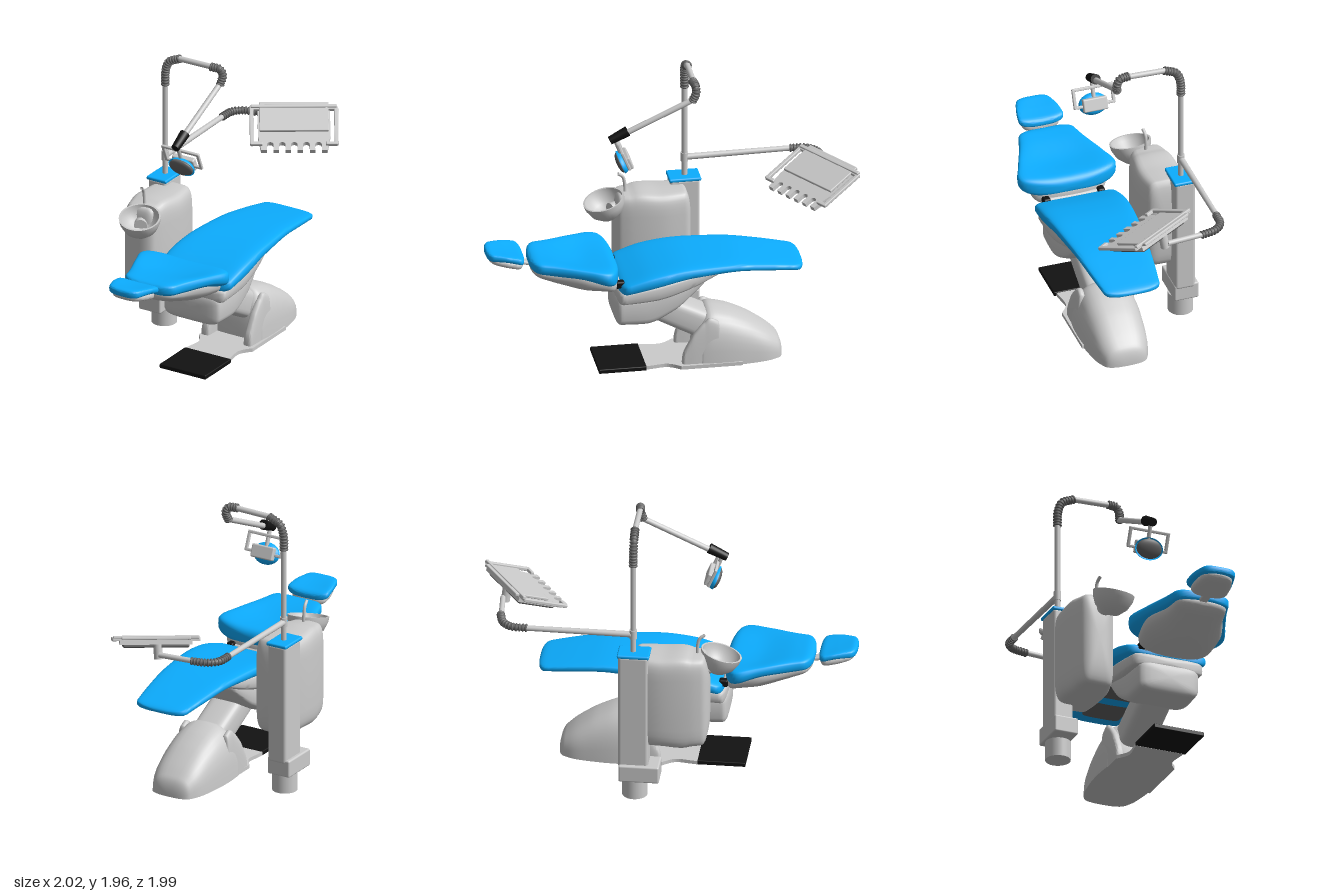
import * as THREE from 'three';
import { toCreasedNormals } from 'three/addons/utils/BufferGeometryUtils.js';
import { RoundedBoxGeometry } from 'three/addons/geometries/RoundedBoxGeometry.js';

const mat = (color) => new THREE.MeshStandardMaterial({ color, side: THREE.DoubleSide });
const grey = mat(0xcccccc), blue = mat(0x0cadff), dark = mat(0x666666), black = mat(0x121212);
const V = (x, y, z) => new THREE.Vector3(x, y, z);

function add(parent, name, geo, material, x = 0, y = 0, z = 0) {
  const m = new THREE.Mesh(geo, material);
  m.name = name;
  m.position.set(x, y, z);
  parent.add(m);
  return m;
}

// Body along x from sections [x, halfWidth, bottom, top, sideLift]; superelliptic, with rounded ends
function loft(sections, { power = 3.5, round = 0.06, z = 0, floor = -9 } = {}) {
  const A = new THREE.CatmullRomCurve3(sections.map((s) => V(s[0], s[1], s[4] || 0)));
  const B = new THREE.CatmullRomCurve3(sections.map((s) => V(s[2], s[3], 0)));
  const N = 36, M = 36, pos = [], idx = [];
  const x0 = sections[0][0], x1 = sections[sections.length - 1][0];
  const se = (c) => Math.sign(c) * Math.abs(c) ** (2 / power);
  for (let i = 0; i <= N; i++) {
    const t = (1 - Math.cos((Math.PI * i) / N)) / 2;
    const a = A.getPoint(t), b = B.getPoint(t);
    const d = Math.max(0, Math.min(1, Math.min(a.x - x0, x1 - a.x) / round));
    const e = (1 - (1 - d) ** 2.6) ** (1 / 2.6);
    for (let j = 0; j < M; j++) {
      const q = (2 * Math.PI * j) / M, c = se(Math.cos(q)) * e;
      const y = (b.x + b.y) / 2 + ((b.y - b.x) / 2) * se(Math.sin(q)) * e + a.z * c * c;
      pos.push(a.x, Math.max(floor, y), z + a.y * c);
      if (i < N) {
        const k = (j + 1) % M, p = i * M, n = p + M;
        idx.push(p + j, n + j, n + k, p + j, n + k, p + k);
      }
    }
  }
  const g = new THREE.BufferGeometry();
  g.setAttribute('position', new THREE.Float32BufferAttribute(pos, 3));
  g.setIndex(idx);
  return toCreasedNormals(g, 0.9);
}

function rod(parent, name, a, b, r, material = grey, r2 = r) {
  const m = add(parent, name, new THREE.CylinderGeometry(r2, r, a.distanceTo(b), 20), material);
  m.position.copy(a).lerp(b, 0.5);
  m.quaternion.setFromUnitVectors(V(0, 1, 0), b.clone().sub(a).normalize());
  return m;
}

// Corrugated sleeve: a bent tube with rings
function sleeve(parent, name, pts, r, rings) {
  const g = new THREE.Group(), c = new THREE.CatmullRomCurve3(pts);
  g.name = name;
  add(g, 'sleeveCore', new THREE.TubeGeometry(c, 30, r, 14), dark);
  for (let i = 0; i <= rings; i++) {
    const ring = add(g, 'sleeveRing', new THREE.TorusGeometry(r, 0.007, 8, 18), dark);
    ring.position.copy(c.getPointAt(i / rings));
    ring.lookAt(ring.position.clone().add(c.getTangentAt(i / rings)));
  }
  parent.add(g);
}

function buildChair(g) {
  const z = 0.07;
  // cushions
  add(g, 'seatCushion', loft([[-0.47, 0.28, 0.59, 0.67, 0.01], [-0.25, 0.295, 0.635, 0.74, 0.01], [0, 0.28, 0.69, 0.775, 0.005],
    [0.3, 0.25, 0.712, 0.775], [0.55, 0.22, 0.69, 0.745], [0.785, 0.185, 0.66, 0.705]], { z, round: 0.06, power: 4.5 }), blue);
  add(g, 'seatUnderPanel', loft([[0.15, 0.18, 0.69, 0.72], [0.4, 0.165, 0.704, 0.73], [0.7, 0.13, 0.663, 0.69]], { z, power: 8, round: 0.03 }), dark);
  add(g, 'backCushion', loft([[-1.05, 0.18, 0.77, 0.86, 0.01], [-0.9, 0.22, 0.745, 0.845, 0.02], [-0.7, 0.295, 0.71, 0.81, 0.045],
    [-0.56, 0.34, 0.68, 0.81, 0.035], [-0.46, 0.27, 0.67, 0.81, 0.01]], { z: 0.08, round: 0.08, power: 4 }), blue);
  add(g, 'backShell', loft([[-1.04, 0.17, 0.74, 0.82, 0.01], [-0.88, 0.2, 0.67, 0.79, 0.03], [-0.68, 0.27, 0.61, 0.77, 0.05],
    [-0.46, 0.25, 0.6, 0.75]], { z: 0.08, round: 0.08, power: 2.8 }), grey);
  add(g, 'headCushion', loft([[-1.335, 0.105, 0.855, 0.92], [-1.2, 0.145, 0.84, 0.895, 0.015], [-1.08, 0.16, 0.815, 0.875, 0.01]],
    { z, round: 0.05, power: 4 }), blue);
  add(g, 'headShell', loft([[-1.32, 0.09, 0.83, 0.89], [-1.2, 0.125, 0.8, 0.87], [-1.085, 0.13, 0.775, 0.85]], { z, power: 3 }), grey);
  add(g, 'headrestStem', new RoundedBoxGeometry(0.22, 0.025, 0.06, 2, 0.01), grey, -1.04, 0.79, z).rotation.z = -0.2;
  // hinge between back and seat
  rod(g, 'hingeBar', V(-0.47, 0.66, -0.1), V(-0.47, 0.66, 0.24), 0.022);
  for (const s of [-1, 1]) add(g, 'hingeBlock', new RoundedBoxGeometry(0.06, 0.05, 0.05, 2, 0.012), black, -0.46, 0.67, z + s * 0.19);
  // seat carrier and lifting arm
  add(g, 'seatShell', loft([[-0.48, 0.25, 0.52, 0.62], [-0.2, 0.255, 0.54, 0.67], [0.02, 0.23, 0.6, 0.71], [0.24, 0.18, 0.69, 0.74]],
    { z, power: 5, round: 0.04 }), grey);
  add(g, 'seatCarrier', loft([[-0.49, 0.215, 0.355, 0.57], [-0.28, 0.22, 0.35, 0.58], [-0.08, 0.21, 0.44, 0.62], [0.14, 0.17, 0.64, 0.69]],
    { z, power: 5, round: 0.04 }), grey);
  add(g, 'liftArm', loft([[-0.38, 0.12, 0.42, 0.57], [-0.2, 0.12, 0.33, 0.53], [0.02, 0.12, 0.21, 0.43], [0.24, 0.12, 0.09, 0.32]], { z, power: 4 }), grey);
  // base cover with two cheeks around the foot of the arm
  add(g, 'baseCover', loft([[0.06, 0.2, -0.24, 0.25], [0.16, 0.21, -0.36, 0.385], [0.28, 0.212, -0.33, 0.36],
    [0.42, 0.2, -0.27, 0.295], [0.55, 0.175, -0.17, 0.205], [0.65, 0.125, -0.09, 0.115]], { z, floor: 0.02, power: 3, round: 0.04 }), grey);
  for (const s of [-1, 1])
    add(g, 'baseCheek', loft([[-0.04, 0.03, -0.08, 0.1], [0.04, 0.035, -0.22, 0.25], [0.12, 0.035, -0.3, 0.33], [0.22, 0.035, -0.3, 0.33]],
      { z: z + s * 0.165, floor: 0.02, power: 3.5, round: 0.02 }), grey);
  // floor plate with waist, and the black foot pad
  const plate = new THREE.Shape();
  plate.moveTo(-0.29, -0.17);
  plate.bezierCurveTo(-0.15, -0.16, -0.15, -0.12, -0.05, -0.21);
  plate.lineTo(0.36, -0.21);
  plate.lineTo(0.36, 0.21);
  plate.lineTo(-0.05, 0.21);
  plate.bezierCurveTo(-0.15, 0.12, -0.15, 0.16, -0.29, 0.17);
  const pg = new THREE.ExtrudeGeometry(plate, { depth: 0.025, bevelEnabled: false }).rotateX(-Math.PI / 2);
  add(g, 'floorPlate', pg, grey, 0, 0.02, 0.08);
  add(g, 'footPad', new RoundedBoxGeometry(0.32, 0.03, 0.36, 2, 0.006), black, -0.44, 0.036, 0.087);
}

function buildColumn(g) {
  add(g, 'columnFoot', new THREE.CylinderGeometry(0.085, 0.085, 0.14, 28), grey, 0.09, 0.07, -0.49);
  add(g, 'junctionBox', new RoundedBoxGeometry(0.27, 0.12, 0.17, 3, 0.012), grey, 0.055, 0.19, -0.5);
  add(g, 'column', new RoundedBoxGeometry(0.2, 0.84, 0.14, 3, 0.02), grey, 0.095, 0.64, -0.49);
  add(g, 'columnCap', new RoundedBoxGeometry(0.215, 0.025, 0.155, 3, 0.01), blue, 0.095, 1.062, -0.49);
  add(g, 'basinCabinet', loft([[-0.4, 0.1, 0.385, 1.025], [-0.28, 0.14, 0.375, 1.035], [-0.08, 0.16, 0.375, 1.035], [0.12, 0.13, 0.375, 1.035]],
    { z: -0.4, power: 6, round: 0.05 }), grey);
}

function buildBasin(root) {
  const bowl = [[0, -0.15], [0.06, -0.138], [0.11, -0.092], [0.135, -0.037], [0.14, 0], [0.128, 0], [0.12, -0.035], [0.09, -0.085], [0.05, -0.112], [0, -0.12]]
    .map((p) => new THREE.Vector2(...p));
  const b = add(root, 'basin', toCreasedNormals(new THREE.LatheGeometry(bowl, 40), 0.8), grey, -0.57, 1.01, 0.06);
  b.rotation.set(0.25, 0, 0.15);
  rod(root, 'basinNeck', V(-0.55, 0.92, 0.01), V(-0.48, 0.92, -0.16), 0.045);
  const path = new THREE.CatmullRomCurve3([V(-0.49, 0.98, -0.08), V(-0.495, 1.09, -0.085), V(-0.505, 1.14, -0.075), V(-0.525, 1.165, -0.05)]);
  add(root, 'waterSpout', new THREE.TubeGeometry(path, 20, 0.011, 10), grey);
}

function buildLamp(root) {
  rod(root, 'pole', V(-0.245, 1.06, -0.435), V(-0.245, 1.74, -0.435), 0.019);
  sleeve(root, 'poleBend', [V(-0.245, 1.72, -0.435), V(-0.243, 1.82, -0.432), V(-0.225, 1.89, -0.41), V(-0.17, 1.93, -0.35)], 0.023, 13);
  rod(root, 'upperArm', V(-0.175, 1.93, -0.355), V(0.0, 1.935, -0.15), 0.019);
  sleeve(root, 'armBend', [V(-0.01, 1.935, -0.155), V(0.035, 1.93, -0.115), V(0.052, 1.89, -0.1), V(0.03, 1.83, -0.09)], 0.023, 10);
  rod(root, 'lowerArm', V(0.04, 1.84, -0.1), V(-0.32, 1.62, 0.21), 0.019);
  rod(root, 'lampJoint', V(-0.3, 1.64, 0.195), V(-0.39, 1.58, 0.275), 0.035, black, 0.028);
  rod(root, 'lampDrop', V(-0.37, 1.6, 0.255), V(-0.33, 1.46, 0.22), 0.014);

  const head = new THREE.Group();
  head.name = 'lampHead';
  head.position.set(-0.335, 1.415, 0.23);
  head.rotation.set(0, 0.716, 0.4, 'YXZ');
  root.add(head);
  // shell opens toward the patient, on local -x
  const shell = add(head, 'lampShell', new THREE.SphereGeometry(1, 32, 12, 0, Math.PI * 2, 0, Math.PI / 2), blue);
  shell.rotation.z = -Math.PI / 2;
  shell.scale.set(0.075, 0.05, 0.1);
  const lens = add(head, 'lampLens', new THREE.SphereGeometry(1, 32, 16), dark, -0.002);
  lens.scale.set(0.025, 0.066, 0.09);
  add(head, 'lampHousing', new RoundedBoxGeometry(0.04, 0.09, 0.17, 2, 0.01), grey, 0.05, 0.005, 0);
  for (const s of [-1, 1]) {
    add(head, 'lampHandle', new RoundedBoxGeometry(0.02, 0.14, 0.022, 2, 0.006), grey, 0.04, 0.06, s * 0.135);
    add(head, 'handleRail', new RoundedBoxGeometry(0.02, 0.02, 0.285, 2, 0.006), grey, 0.04, 0.06 + s * 0.06, 0);
  }
}

function buildTray(root) {
  rod(root, 'armCollar', V(-0.245, 1.17, -0.435), V(-0.245, 1.235, -0.435), 0.025);
  rod(root, 'trayArm', V(-0.235, 1.2, -0.445), V(0.3, 1.205, -0.915), 0.021, grey, 0.018);
  sleeve(root, 'trayBend', [V(0.29, 1.205, -0.905), V(0.37, 1.205, -0.965), V(0.45, 1.205, -0.965), V(0.54, 1.205, -0.905)], 0.021, 13);
  rod(root, 'trayEndArm', V(0.53, 1.205, -0.91), V(0.71, 1.2, -0.73), 0.018);
  rod(root, 'trayPivot', V(0.71, 1.165, -0.71), V(0.71, 1.27, -0.69), 0.03);

  const t = new THREE.Group();
  t.name = 'instrumentTray';
  t.position.set(0.675, 1.222, -0.535);
  t.rotation.set(0.38, -0.28, 0, 'YXZ');
  root.add(t);
  // instrument holder with round notches along its front edge
  const s = new THREE.Shape();
  s.moveTo(-0.24, 0.2);
  s.lineTo(-0.24, -0.06);
  s.lineTo(-0.22, -0.19);
  for (let i = -2; i <= 2; i++) {
    const x = i * 0.08;
    s.lineTo(x - 0.022, -0.19);
    s.lineTo(x - 0.022, -0.14);
    s.absarc(x, -0.14, 0.022, Math.PI, 0, true);
    s.lineTo(x + 0.022, -0.19);
  }
  s.lineTo(0.22, -0.19);
  s.lineTo(0.24, -0.06);
  s.lineTo(0.24, 0.2);
  add(t, 'instrumentHolder', new THREE.ExtrudeGeometry(s, { depth: 0.03, bevelEnabled: false }).rotateX(-Math.PI / 2), grey, 0, -0.025, 0);
  add(t, 'trayTop', new RoundedBoxGeometry(0.46, 0.02, 0.26, 2, 0.006), grey, 0, 0.018, -0.1);
  add(t, 'trayUnderside', new RoundedBoxGeometry(0.44, 0.03, 0.28, 2, 0.01), dark, 0, -0.03, -0.04);
  for (const k of [-1, 1]) {
    add(t, 'sideHandle', new RoundedBoxGeometry(0.028, 0.024, 0.34, 2, 0.006), grey, k * 0.28, 0.012, -0.02);
    for (const z of [-0.18, 0.14])
      add(t, 'handleStay', new RoundedBoxGeometry(0.08, 0.024, 0.026, 2, 0.006), grey, k * 0.25, 0.012, z);
  }
  add(t, 'rearRail', new RoundedBoxGeometry(0.57, 0.022, 0.026, 2, 0.006), grey, 0, 0.025, -0.19);
}

export function createModel() {
  const root = new THREE.Group();
  root.name = 'dentalUnit';
  // chair and column stand diagonally: local x runs from head to foot
  for (const [name, build] of [['chair', buildChair], ['serviceColumn', buildColumn]]) {
    const g = new THREE.Group();
    g.name = name;
    g.rotation.y = 0.716;
    build(g);
    root.add(g);
  }
  buildBasin(root);
  buildLamp(root);
  buildTray(root);
  return root;
}
